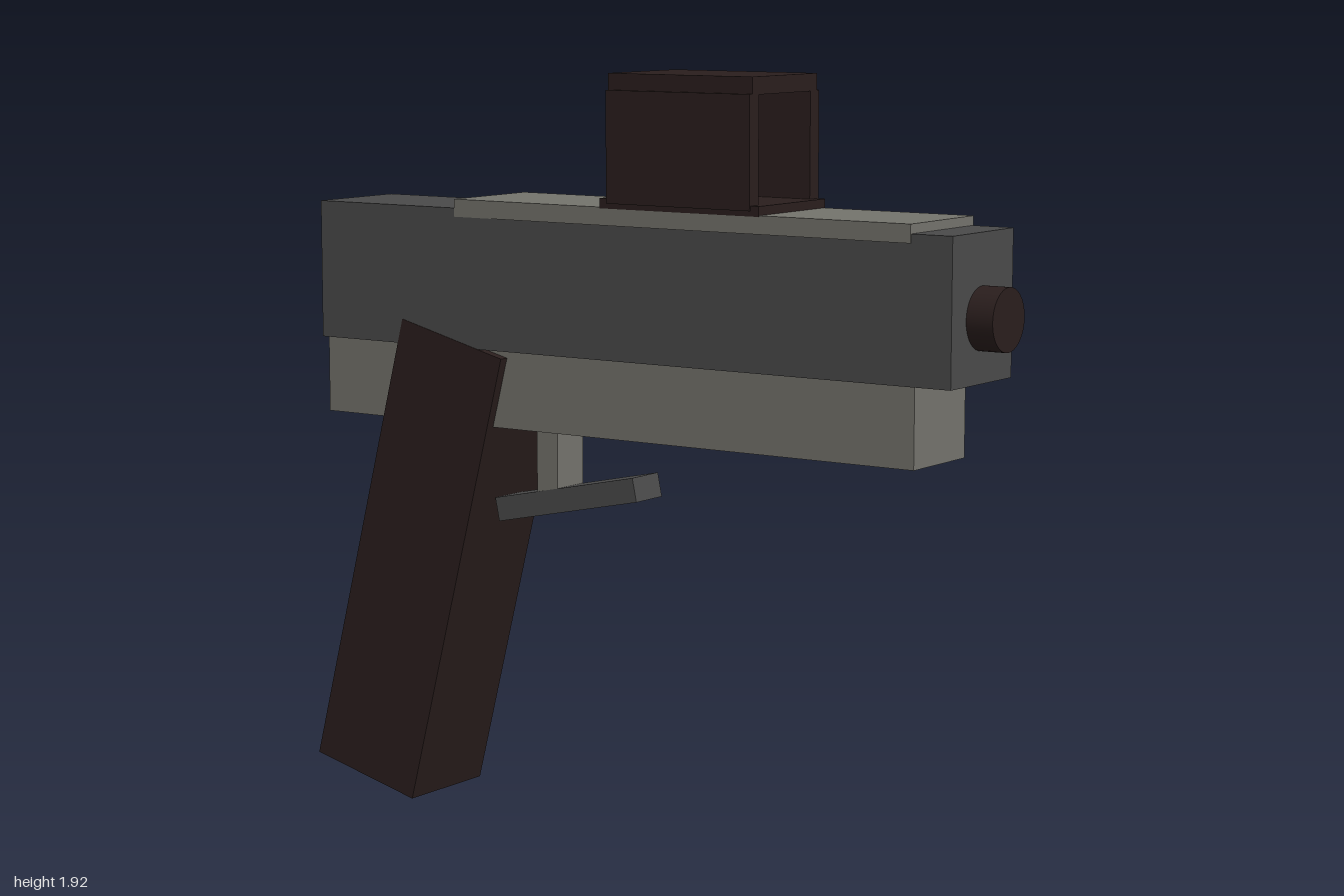
import * as THREE from 'three';

export function createModel() {
  const model = new THREE.Group();
  const material = (name, color) => {
    const m = new THREE.MeshStandardMaterial({ color });
    m.name = name;
    return m;
  };
  const darkBrown = material('darkBrown', 0x2a1e1d);
  const charcoal = material('charcoal', 0x4a4a4a);
  const warmGrey = material('warmGrey', 0x74736c);

  const add = (parent, name, geometry, mat) => {
    const mesh = new THREE.Mesh(geometry, mat);
    mesh.name = name;
    parent.add(mesh);
    return mesh;
  };
  // Box from x and y ranges, centred on z = 0 unless moved
  const box = (parent, name, mat, x0, x1, y0, y1, depth, z = 0) => {
    const mesh = add(parent, name, new THREE.BoxGeometry(x1 - x0, y1 - y0, depth), mat);
    mesh.position.set((x0 + x1) / 2, (y0 + y1) / 2, z);
    return mesh;
  };
  // Box from centre, size and tilt
  const tilted = (name, mat, x, y, length, height, depth, angle) => {
    const mesh = add(model, name, new THREE.BoxGeometry(length, height, depth), mat);
    mesh.position.set(x, y, 0);
    mesh.rotation.z = angle;
    return mesh;
  };

  // Body
  box(model, 'slide', charcoal, -0.965, 0.93, 1.21, 1.567, 0.288);
  box(model, 'lowerFrame', warmGrey, -0.965, 0.82, 1.01, 1.21, 0.24);
  box(model, 'topPlate', warmGrey, -0.52, 0.82, 1.545, 1.59, 0.294);

  // Muzzle
  const muzzle = add(model, 'muzzle', new THREE.CylinderGeometry(0.077, 0.077, 0.12, 32), darkBrown);
  muzzle.rotation.z = -Math.PI / 2;
  muzzle.position.set(0.94, 1.365, 0);

  // Grip and trigger
  tilted('grip', darkBrown, -0.6875, 0.637, 0.33, 1.228, 0.291, -0.251);
  box(model, 'triggerPost', warmGrey, -0.33, -0.265, 0.84, 1.01, 0.11);
  tilted('triggerBar', charcoal, -0.242, 0.83, 0.443, 0.062, 0.112, 0.206);

  // Open-ended sight
  const sight = new THREE.Group();
  sight.name = 'sight';
  model.add(sight);
  box(sight, 'sightBase', darkBrown, -0.063, 0.403, 1.587, 1.612, 0.298);
  for (const side of [1, -1]) {
    box(sight, side > 0 ? 'sightFrontWall' : 'sightBackWall', darkBrown,
      -0.04, 0.38, 1.6, 1.877, 0.04, side * 0.135);
  }
  box(sight, 'sightRoof', darkBrown, -0.04, 0.38, 1.875, 1.918, 0.288);
  box(sight, 'sightDot', warmGrey, 0.148, 0.192, 1.72, 1.764, 0.044);

  return model;
}
